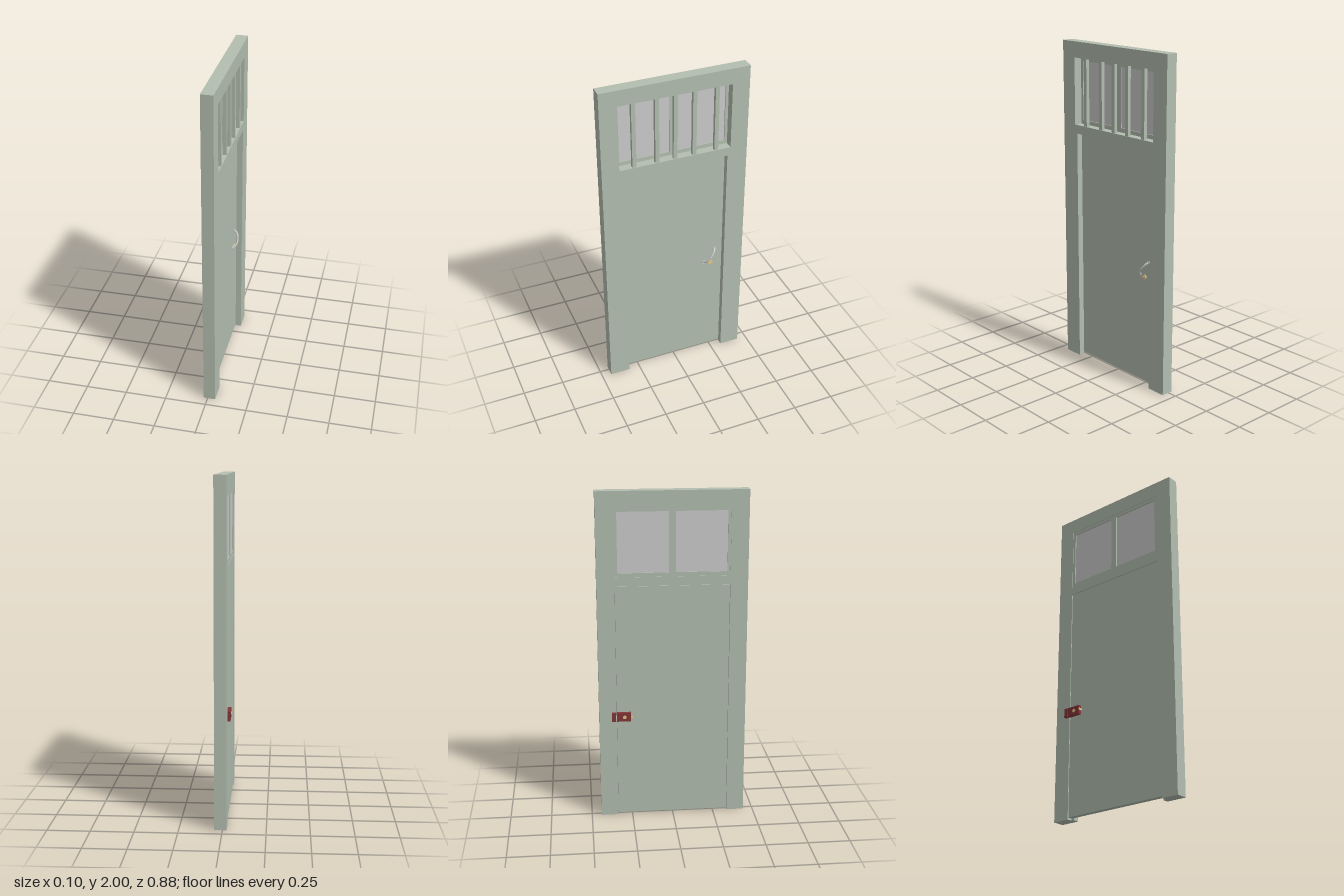
import * as THREE from 'three';

const mat = (color) => new THREE.MeshStandardMaterial({ color });

export function createModel() {
  const door = new THREE.Group();
  door.name = 'door';
  const paint = mat(0xb3beb0), glass = mat(0xcccccc), metal = mat(0xcccccc);
  const red = mat(0x843638), brass = mat(0xe3c48c);

  const add = (name, geometry, material, parent = door) => {
    const mesh = new THREE.Mesh(geometry, material);
    mesh.name = name;
    parent.add(mesh);
    return mesh;
  };
  // Box given by its limits on each axis
  const box = (name, [x0, x1], [y0, y1], [z0, z1], material) => {
    const mesh = add(name, new THREE.BoxGeometry(x1 - x0, y1 - y0, z1 - z0), material);
    mesh.position.set((x0 + x1) / 2, (y0 + y1) / 2, (z0 + z1) / 2);
    return mesh;
  };
  // Closed rectangle path in the (z, y) plane
  const rect = (w0, w1, y0, y1, Type = THREE.Path) => {
    const p = new Type();
    p.moveTo(w0, y0).lineTo(w1, y0).lineTo(w1, y1).lineTo(w0, y1).closePath();
    return p;
  };
  // Panel extruded through the thickness, from x0 to x1
  const slab = (name, shape, x0, x1, material) => {
    const g = new THREE.ExtrudeGeometry(shape, { depth: x1 - x0, bevelEnabled: false });
    g.rotateY(Math.PI / 2).translate(x0, 0, 0);
    return add(name, g, material);
  };
  // Round part lying along x
  const disc = (name, r, x0, x1, y, z, material, sides = 16) => {
    const g = new THREE.CylinderGeometry(r, r, x1 - x0, sides).rotateZ(Math.PI / 2);
    const mesh = add(name, g, material);
    mesh.position.set((x0 + x1) / 2, y, z);
    return mesh;
  };

  // Frame in two layers: the inner layer has a wider rebate for the leaf
  const frameShape = (half) => {
    const s = new THREE.Shape();
    [[-0.442, 0], [-half, 0], [-half, 1.45], [half, 1.45], [half, 0], [0.442, 0], [0.442, 2], [-0.442, 2]]
      .forEach(([z, y], i) => (i ? s.lineTo(z, y) : s.moveTo(z, y)));
    s.closePath();
    s.holes.push(rect(-0.338, 0.338, 1.503, 1.905));
    return s;
  };
  slab('frameInner', frameShape(0.338), -0.024, 0.011, paint);
  slab('frameOuter', frameShape(0.32), 0.011, 0.047, paint);

  // Door leaf
  box('leaf', [-0.021, 0.01], [0.012, 1.448], [-0.336, 0.336], paint);

  // Transom window: sash with two panes
  const sash = rect(-0.338, 0.338, 1.503, 1.905, THREE.Shape);
  for (const side of [-1, 1]) {
    sash.holes.push(rect(side * 0.17 - 0.15, side * 0.17 + 0.15, 1.527, 1.882));
    box('pane', [-0.015, -0.009], [1.525, 1.884], [side * 0.17 - 0.152, side * 0.17 + 0.152], glass);
  }
  slab('sash', sash, -0.021, -0.003, paint);

  // Security bars
  for (const z of [-0.25, -0.115, 0, 0.11, 0.247])
    box('windowBar', [0.022, 0.043], [1.503, 1.905], [z - 0.012, z + 0.012], paint);

  // Slanted bow handle with a foot at each end
  const low = [0.685, -0.203], high = [0.773, -0.272];
  const at = (t, x) => new THREE.Vector3(x, low[0] + (high[0] - low[0]) * t, low[1] + (high[1] - low[1]) * t);
  const bow = new THREE.CatmullRomCurve3([at(0, 0.012), at(0.12, 0.027), at(0.5, 0.038), at(0.88, 0.027), at(1, 0.012)]);
  add('handle', new THREE.TubeGeometry(bow, 24, 0.006, 8), metal);
  for (const [y, z] of [low, high]) disc('handleFoot', 0.011, 0.01, 0.014, y, z, metal);

  // Key cylinder on the outer face
  disc('keyCylinder', 0.014, 0.01, 0.018, 0.677, -0.243, brass);
  box('keySlot', [0.018, 0.021], [0.674, 0.68], [-0.26, -0.228], brass);

  // Rim lock on the inner face, with its keeper on the post
  box('lockCase', [-0.041, -0.021], [0.622, 0.676], [-0.338, -0.252], red);
  box('lockKeeper', [-0.042, -0.021], [0.622, 0.676], [-0.366, -0.342], red);
  box('lockBolt', [-0.036, -0.026], [0.637, 0.661], [-0.345, -0.335], metal);
  disc('lockCylinder', 0.011, -0.044, -0.04, 0.649, -0.29, brass);

  // Small latch pull beside the lock
  box('latchStem', [-0.033, -0.027], [0.644, 0.652], [-0.253, -0.242], brass);
  box('latchPull', [-0.049, -0.026], [0.642, 0.654], [-0.245, -0.241], brass);

  return door;
}
